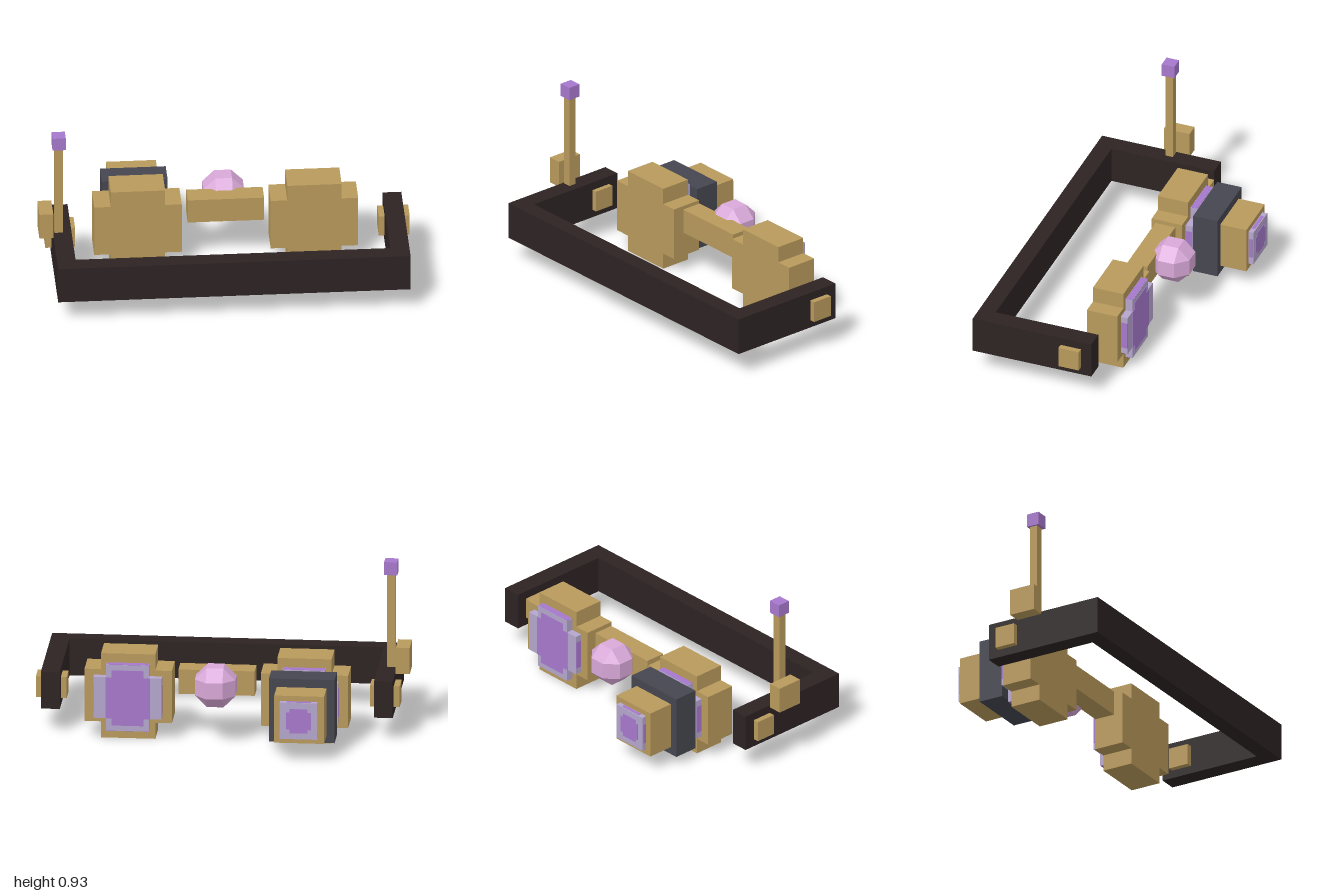
import * as THREE from 'three';
import { ConvexGeometry } from 'three/addons/geometries/ConvexGeometry.js';

const mat = (name, color) => {
  const m = new THREE.MeshStandardMaterial({ color });
  m.name = name;
  return m;
};

export function createModel() {
  const group = new THREE.Group();
  const gold = mat('brass', 0xb8995b);
  const leather = mat('dark leather', 0x2d2323);
  const steel = mat('dark steel', 0x45464f);
  const lilac = mat('pale lilac', 0xb5a6cd);
  const purple = mat('purple glass', 0xa678cc);
  const pink = mat('pink crystal', 0xd8a8d8);

  const add = (name, geo, material) => {
    const mesh = new THREE.Mesh(geo, material);
    mesh.name = name;
    group.add(mesh);
    return mesh;
  };

  // box given by its limits on each axis
  const box = (name, material, x0, x1, y0, y1, z0, z1) =>
    add(name, new THREE.BoxGeometry(x1 - x0, y1 - y0, z1 - z0), material)
      .position.set((x0 + x1) / 2, (y0 + y1) / 2, (z0 + z1) / 2);

  // stepped cross plate: W, H are the arm reaches, w, h the arm half widths
  const cross = (name, material, cx, cy, W, w, H, h, z0, z1) => {
    const pts = [[W, -h], [W, h], [w, h], [w, H], [-w, H], [-w, h],
      [-W, h], [-W, -h], [-w, -h], [-w, -H], [w, -H], [w, -h]];
    const shape = new THREE.Shape(pts.map(([x, y]) => new THREE.Vector2(x, y)));
    const geo = new THREE.ExtrudeGeometry(shape, { depth: z1 - z0, bevelEnabled: false });
    add(name, geo, material).position.set(cx, cy, z0);
  };

  // head strap
  box('strapBar', leather, -0.925, 0.968, 0.136, 0.342, 0.455, 0.548);
  box('strapRight', leather, -0.925, -0.825, 0.136, 0.342, -0.135, 0.455);
  box('strapLeft', leather, 0.866, 0.968, 0.136, 0.342, -0.135, 0.455);

  // bolts through the strap ends
  box('boltRight', gold, -0.957, -0.797, 0.18, 0.297, -0.075, 0.042);
  box('boltLeft', gold, 0.834, 1.0, 0.18, 0.297, -0.075, 0.042);

  // antenna
  box('antennaBase', gold, -1.0, -0.925, 0.328, 0.475, 0.045, 0.193);
  box('antennaPole', gold, -0.917, -0.872, 0.335, 0.865, 0.12, 0.163);
  box('antennaTip', purple, -0.928, -0.857, 0.862, 0.935, 0.106, 0.178);

  // eyepieces: stepped frame, lens plate and its purple glass
  for (const [side, cx] of [['Right', -0.455], ['Left', 0.493]]) {
    const cy = 0.238;
    cross('frame' + side, gold, cx, cy, 0.235, 0.146, 0.237, 0.147, -0.19, -0.015);
    cross('lens' + side, lilac, cx, cy, 0.184, 0.115, 0.185, 0.115, -0.23, -0.19);
    cross('glass' + side, purple, cx, cy, 0.117, 0.085, 0.155, 0.115, -0.233, -0.229);
    // purple glass showing on the rims of the lens plate
    for (const s of [-1, 1]) {
      const x = cx + s * 0.184, y = cy + s * 0.185;
      box('glassEdge' + side, purple, x - 0.002, x + 0.002, cy - 0.08, cy + 0.08, -0.228, -0.192);
      box('glassRim' + side, purple, cx - 0.112, cx + 0.112, y - 0.002, y + 0.002, -0.228, -0.192);
    }
  }

  // telescopic barrel on the right eyepiece
  box('barrelOuter', steel, -0.633, -0.28, 0.062, 0.417, -0.37, -0.23);
  box('barrelInner', gold, -0.59, -0.322, 0.105, 0.37, -0.52, -0.37);
  box('barrelLens', lilac, -0.557, -0.353, 0.136, 0.34, -0.548, -0.52);
  cross('barrelGlass', purple, -0.455, 0.238, 0.068, 0.048, 0.068, 0.048, -0.551, -0.547);
  for (const s of [-1, 1]) {
    const x = -0.455 + s * 0.102, y = 0.238 + s * 0.102;
    box('barrelGlassEdge', purple, x - 0.002, x + 0.002, 0.18, 0.296, -0.542, -0.524);
    box('barrelGlassRim', purple, -0.52, -0.39, y - 0.002, y + 0.002, -0.542, -0.524);
  }

  // nose bridge
  box('bridge', gold, -0.185, 0.225, 0.25, 0.387, -0.165, -0.05);

  // faceted crystal: small cube corners pushed out along each axis in turn
  const a = 0.045, r = 0.109, corners = [];
  for (const i of [-1, 1]) for (const j of [-1, 1]) for (const k of [-1, 1]) {
    corners.push(new THREE.Vector3(i * r, j * a, k * a));
    corners.push(new THREE.Vector3(i * a, j * r, k * a));
    corners.push(new THREE.Vector3(i * a, j * a, k * r));
  }
  add('crystal', new ConvexGeometry(corners), pink).position.set(0.018, 0.326, -0.234);

  return group;
}
